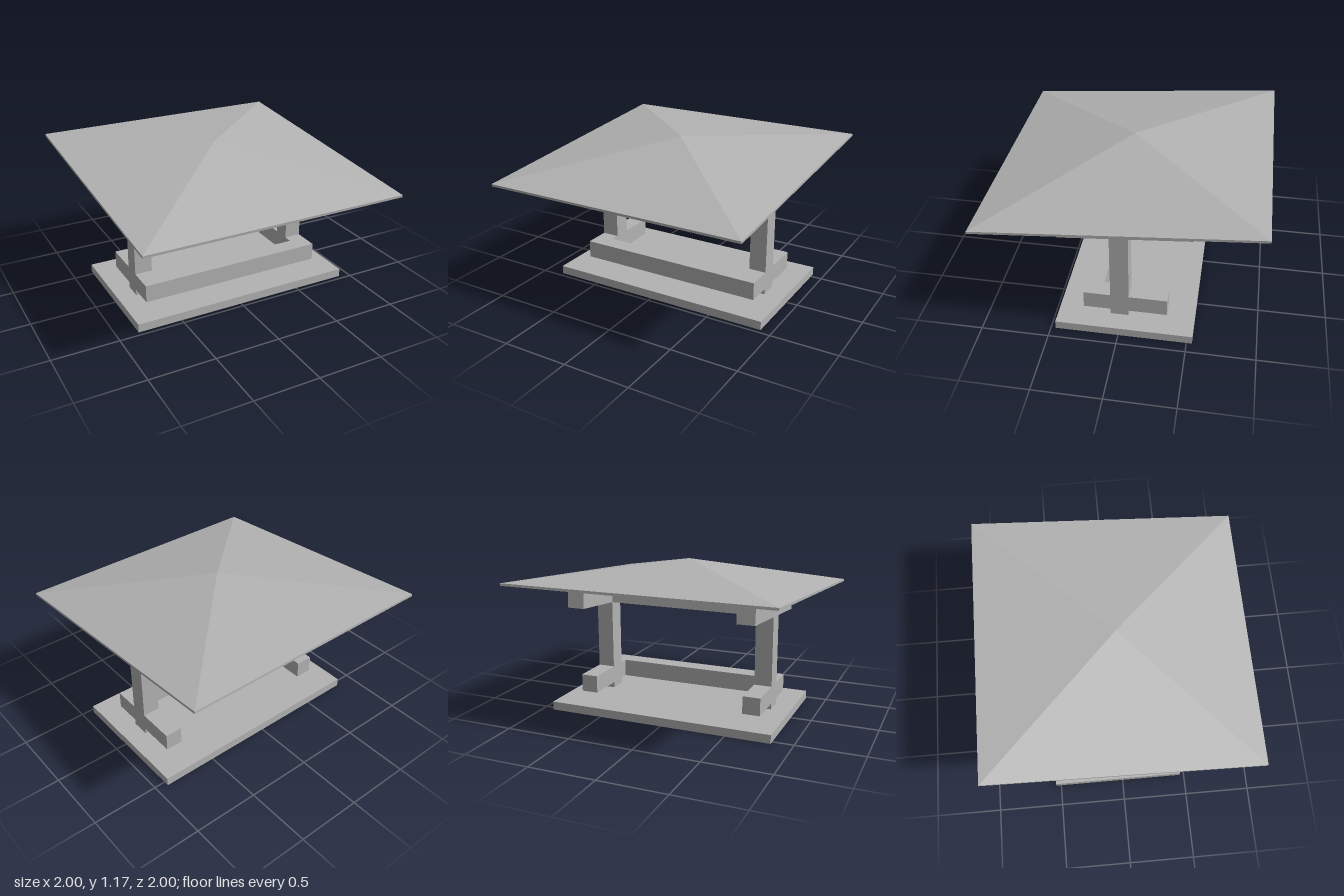
import * as THREE from 'three';

export function createModel() {
  const model = new THREE.Group();
  const grey = new THREE.MeshStandardMaterial({ color: 0xb3b3b3, flatShading: true });
  grey.name = 'plain grey';

  // Box given by its extents on each axis
  function block(parent, name, [x0, x1], [y0, y1], [z0, z1]) {
    const mesh = new THREE.Mesh(new THREE.BoxGeometry(x1 - x0, y1 - y0, z1 - z0), grey);
    mesh.position.set((x0 + x1) / 2, (y0 + y1) / 2, (z0 + z1) / 2);
    mesh.name = name;
    parent.add(mesh);
  }

  const sides = { right: [-0.7, -0.565], left: [0.635, 0.767] };
  const slabX = [-0.843, 0.915];
  const innerX = [sides.right[1], sides.left[0]];

  // Ground slab and the low beam joining the feet
  block(model, 'baseSlab', slabX, [0, 0.065], [-0.54, 0.465]);
  block(model, 'lowerBeam', innerX, [0.11, 0.245], [0.147, 0.28]);

  // Roof assembly leans forward by five degrees; its origin is the roof underside
  const top = new THREE.Group();
  top.name = 'tiltedTop';
  top.position.y = 0.973;
  top.rotation.x = THREE.MathUtils.degToRad(4.95);
  model.add(top);

  // Post, foot and upper arm on both sides
  for (const [side, x] of Object.entries(sides)) {
    block(model, side + 'Post', x, [0.065, 0.85], [-0.055, 0.08]);
    block(model, side + 'Foot', x, [0.11, 0.245], [-0.338, 0.28]);
    block(top, side + 'UpperArm', x, [-0.195, -0.062], [-0.49, 0.467]);
  }
  block(top, 'upperBeam', innerX, [-0.195, -0.062], [-0.038, 0.097]);
  block(top, 'ceilingPanel', slabX, [-0.062, 0], [-0.54, 0.47]);

  // Square roof: thin rim with a shallow pyramid on it
  block(top, 'roofRim', [-1, 1], [0, 0.018], [-1.002, 1.002]);
  const pyramid = new THREE.ConeGeometry(Math.SQRT2, 0.175, 4, 1, true);
  pyramid.rotateY(Math.PI / 4).translate(0, 0.018 + 0.175 / 2, 0);
  const roof = new THREE.Mesh(pyramid, grey);
  roof.scale.z = 1.002;
  roof.name = 'roofPyramid';
  top.add(roof);

  return model;
}
